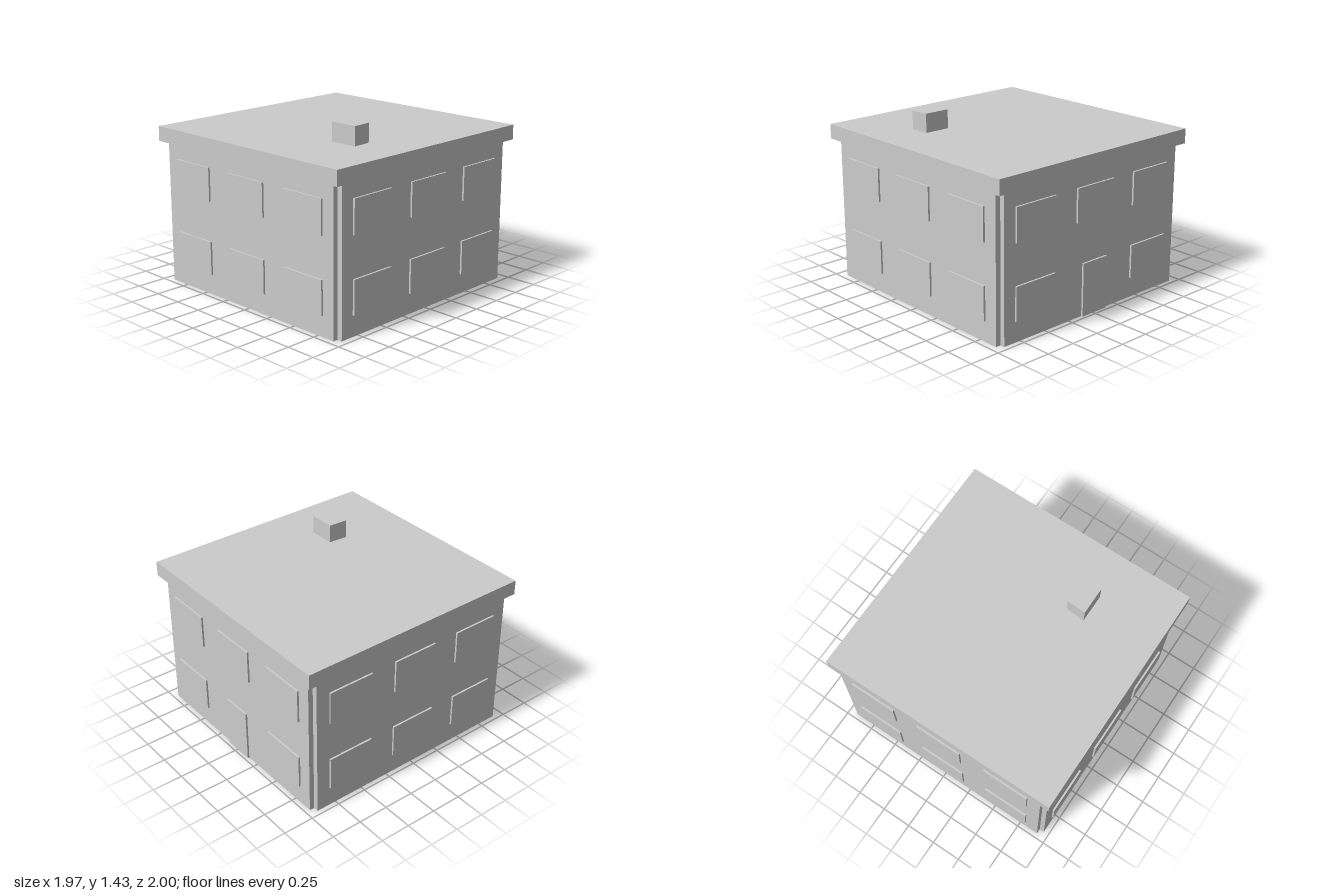
import * as THREE from 'three';

const material = new THREE.MeshStandardMaterial({ color: 0xcccccc, flatShading: true });

// Box given by its min and max along each axis
function slab(name, [x0, x1], [y0, y1], [z0, z1]) {
  const mesh = new THREE.Mesh(new THREE.BoxGeometry(x1 - x0, y1 - y0, z1 - z0), material);
  mesh.position.set((x0 + x1) / 2, (y0 + y1) / 2, (z0 + z1) / 2);
  mesh.name = name;
  return mesh;
}

export function createModel() {
  const model = new THREE.Group();
  model.name = 'house';

  const wallTop = 1.16;
  const spanX = [-0.92, 0.905];
  const spanZ = [-0.92, 0.915];
  const storeys = [[0.165, 0.438], [0.765, 1.035]];
  const bays = [-0.61, 0, 0.61];
  const halfWidth = 0.195;
  const proud = 0.015; // how far panes stand out of both wall faces

  // Four thin walls, meeting only at their edges so the corners stay notched
  const walls = [
    { name: 'front', alongX: true, across: [0.915, 0.955] },
    { name: 'back', alongX: true, across: [-0.96, -0.92] },
    { name: 'left', alongX: false, across: [0.905, 0.948] },
    { name: 'right', alongX: false, across: [-0.962, -0.92] },
  ];

  for (const { name, alongX, across } of walls) {
    const side = new THREE.Group();
    side.name = name + 'Side';
    const add = (part, along, height, depth) =>
      side.add(alongX ? slab(part, along, height, depth) : slab(part, depth, height, along));
    const paneDepth = [across[0] - proud, across[1] + proud];
    const centre = alongX ? -0.006 : -0.002;

    add(name + 'Wall', alongX ? spanX : spanZ, [0, wallTop], across);
    storeys.forEach((height, floor) => {
      bays.forEach((bay, column) => {
        // The door takes the middle ground-floor bay at the back
        if (name === 'back' && floor === 0 && column === 1) {
          add('door', [-0.14, 0.115], [0, 0.43], paneDepth);
        } else {
          const c = centre + bay;
          add('window', [c - halfWidth, c + halfWidth], height, paneDepth);
        }
      });
    });
    model.add(side);
  }

  // Flat overhanging roof
  model.add(slab('roof', [-0.985, 0.985], [wallTop, 1.28], [-1, 1]));

  // Chimney, slightly narrower towards the back
  const plan = new THREE.Shape([
    new THREE.Vector2(0.37, -0.425),
    new THREE.Vector2(0.603, -0.425),
    new THREE.Vector2(0.595, -0.267),
    new THREE.Vector2(0.38, -0.267),
  ]);
  const chimneyGeometry = new THREE.ExtrudeGeometry(plan, { depth: 0.155, bevelEnabled: false });
  chimneyGeometry.rotateX(-Math.PI / 2);
  const chimney = new THREE.Mesh(chimneyGeometry, material);
  chimney.position.y = 1.277;
  chimney.name = 'chimney';
  model.add(chimney);

  return model;
}
